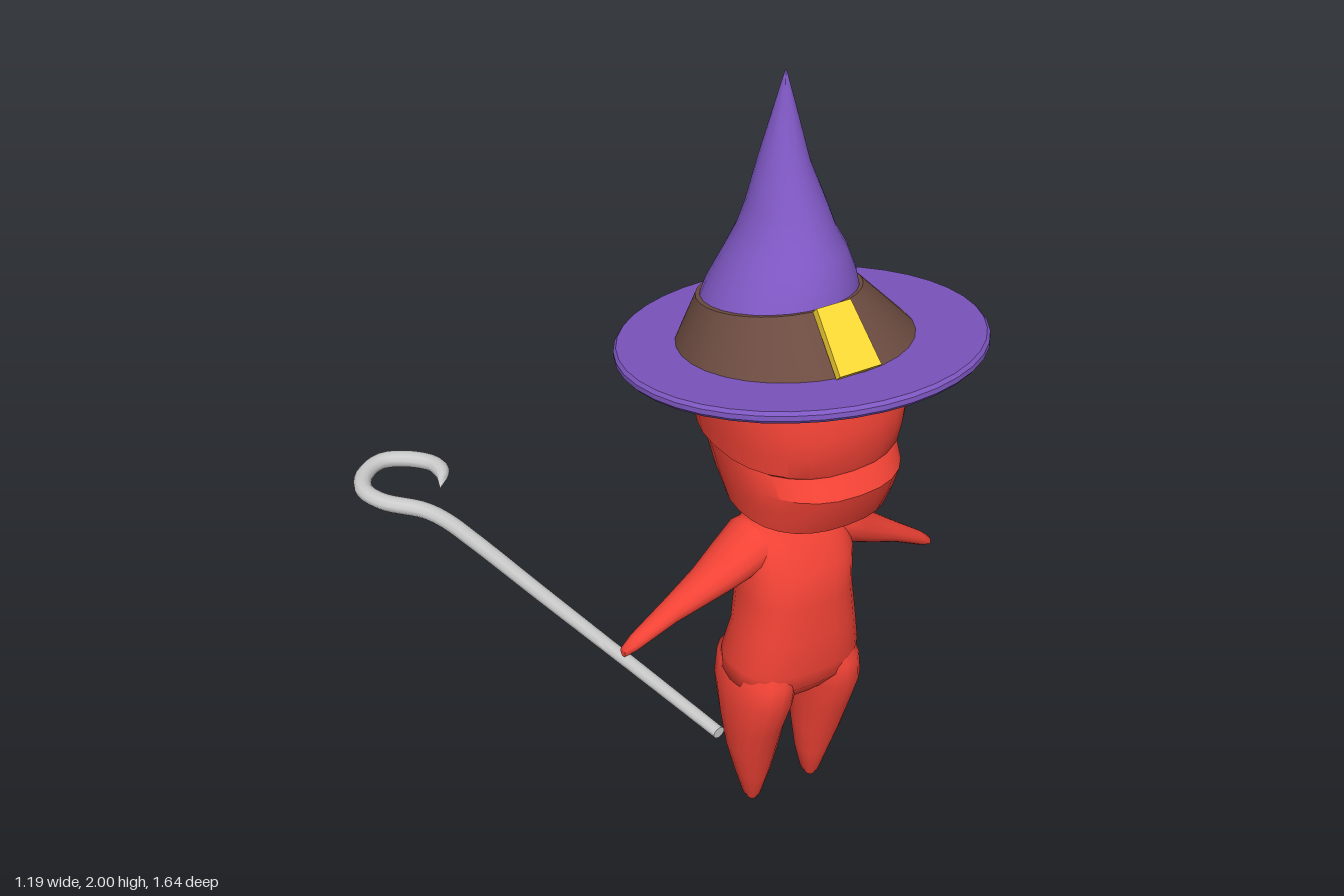
import * as THREE from 'three';
import { toCreasedNormals } from 'three/addons/utils/BufferGeometryUtils.js';

const CX = 0.13; // centre line of the figure
const mat = (color) => new THREE.MeshStandardMaterial({ color });
const red = mat(0xf44336), purple = mat(0x7e57c2), brown = mat(0x6d4c41);
const yellow = mat(0xfdd835), grey = mat(0xcccccc);

// Closed skin over rings [cx, y, cz, rx, rz, slope]; slope lifts the +z side.
function loft(rings, { seg = 24, pow = 1, crease = 0.7 } = {}) {
  const pos = [], idx = [];
  const curve = (v) => Math.sign(v) * Math.abs(v) ** pow;
  for (const [cx, y, cz, rx, rz, slope = 0] of rings) {
    for (let j = 0; j < seg; j++) {
      const a = (j / seg) * Math.PI * 2;
      const dz = rz * curve(Math.sin(a));
      pos.push(cx + rx * curve(Math.cos(a)), y + slope * dz, cz + dz);
    }
  }
  const n = rings.length, first = n * seg, last = first + 1;
  pos.push(...rings[0].slice(0, 3), ...rings[n - 1].slice(0, 3));
  for (let j = 0; j < seg; j++) {
    const k = (j + 1) % seg;
    for (let i = 0; i < n - 1; i++) {
      const a = i * seg + j, b = i * seg + k;
      idx.push(a, a + seg, b, b, a + seg, b + seg);
    }
    idx.push(first, j, k, last, (n - 1) * seg + k, (n - 1) * seg + j);
  }
  const g = new THREE.BufferGeometry();
  g.setAttribute('position', new THREE.Float32BufferAttribute(pos, 3));
  g.setIndex(idx);
  return toCreasedNormals(g, crease);
}

export function createModel() {
  const model = new THREE.Group();
  const add = (name, geometry, material) => {
    const mesh = new THREE.Mesh(geometry, material);
    mesh.name = name;
    model.add(mesh);
    return mesh;
  };

  // Torso and neck
  add('torso', loft([
    [CX, 0.37, 0.43, 0.05, 0.05],
    [CX, 0.40, 0.425, 0.11, 0.09],
    [CX, 0.45, 0.425, 0.178, 0.125],
    [CX, 0.50, 0.427, 0.177, 0.132],
    [CX, 0.60, 0.437, 0.16, 0.118],
    [CX, 0.70, 0.43, 0.146, 0.12],
    [CX, 0.80, 0.422, 0.15, 0.117],
    [CX, 0.87, 0.40, 0.143, 0.088],
    [CX, 0.92, 0.397, 0.108, 0.065],
    [CX, 0.95, 0.397, 0.075, 0.056],
    [CX, 1.00, 0.397, 0.06, 0.05],
  ], { pow: 0.8, crease: 1 }), red);

  for (const [side, s] of [['left', 1], ['right', -1]]) {
    // Legs: [outward offset, y, z, rx, rz]
    add(side + 'Leg', loft([
      [0.093, 0, 0.417, 0.012, 0.015],
      [0.093, 0.02, 0.415, 0.023, 0.028],
      [0.095, 0.10, 0.415, 0.043, 0.05],
      [0.101, 0.20, 0.42, 0.064, 0.071],
      [0.104, 0.30, 0.42, 0.073, 0.101],
      [0.102, 0.40, 0.423, 0.083, 0.13],
      [0.095, 0.47, 0.422, 0.08, 0.133],
      [0.08, 0.54, 0.43, 0.06, 0.09],
    ].map(([x, ...r]) => [CX + s * x, ...r]), { seg: 16, pow: 0.9, crease: 1 }), red);

    // Arms: [height, outward offset, z, half height, half depth], laid on their side
    const arm = loft([
      [0.85, 0.06, 0.40, 0.07, 0.07],
      [0.835, 0.13, 0.402, 0.067, 0.08],
      [0.795, 0.19, 0.40, 0.055, 0.067],
      [0.755, 0.25, 0.397, 0.044, 0.05],
      [0.706, 0.33, 0.39, 0.031, 0.034],
      [0.642, 0.43, 0.384, 0.021, 0.021],
      [0.623, 0.46, 0.383, 0.013, 0.012],
    ].map(([h, ...r]) => [-s * h, ...r]), { seg: 14, crease: 1 });
    arm.rotateZ(-s * Math.PI / 2);
    add(side + 'Arm', arm.translate(CX, 0, 0), red);
  }

  // Head with protruding muzzle: [y, back z, front z, half width]
  add('head', loft([
    [0.94, 0.34, 0.46, 0.06],
    [0.95, 0.33, 0.55, 0.11],
    [0.97, 0.31, 0.59, 0.16],
    [1.00, 0.29, 0.64, 0.188],
    [1.06, 0.24, 0.667, 0.20],
    [1.11, 0.21, 0.682, 0.208],
    [1.158, 0.185, 0.648, 0.214],
    [1.165, 0.18, 0.65, 0.226],
    [1.22, 0.16, 0.66, 0.234],
    [1.27, 0.155, 0.662, 0.24],
    [1.33, 0.16, 0.65, 0.244],
    [1.37, 0.17, 0.64, 0.242],
    [1.42, 0.20, 0.61, 0.21],
    [1.47, 0.28, 0.52, 0.12],
  ].map(([y, b, f, w]) => [CX, y, (b + f) / 2, w, (f - b) / 2]), { seg: 28, pow: 0.85, crease: 0.5 }), red);

  // Hat: tilted brim, band and bent cone
  const brim = add('hatBrim', loft([
    [0, -0.014, 0, 0.428, 0.428],
    [0, -0.006, 0, 0.435, 0.435],
    [0, 0.006, 0, 0.435, 0.435],
    [0, 0.014, 0, 0.428, 0.428],
  ], { seg: 40 }), purple);
  brim.position.set(0.145, 1.373, 0.39);
  brim.rotation.x = -0.15;

  add('hatBand', loft([
    [0.133, 1.385, 0.385, 0.278, 0.278, 0.15],
    [0.10, 1.505, 0.36, 0.192, 0.189, 0.19],
  ], { seg: 32 }), brown);

  add('hatCone', loft([
    [0.10, 1.495, 0.36, 0.185, 0.185, 0.19],
    [0.107, 1.54, 0.357, 0.17, 0.172, 0.17],
    [0.12, 1.60, 0.35, 0.138, 0.147, 0.12],
    [0.126, 1.65, 0.341, 0.108, 0.122, 0.08],
    [0.13, 1.70, 0.333, 0.09, 0.102, 0.05],
    [0.131, 1.80, 0.315, 0.057, 0.064],
    [0.138, 1.90, 0.302, 0.03, 0.032],
    [0.141, 2.00, 0.295, 0.002, 0.002],
  ], { seg: 28 }), purple);

  // Buckle, narrower at the top
  const plate = new THREE.BoxGeometry(0.11, 0.16, 0.02);
  const pp = plate.attributes.position;
  for (let i = 0; i < pp.count; i++) if (pp.getY(i) > 0) pp.setX(i, pp.getX(i) * 0.82);
  const buckle = add('hatBuckle', plate, yellow);
  buckle.position.set(0.112, 1.492, 0.61);
  buckle.rotation.x = -0.8;

  // Hooked staff lying level: path in [x, z]
  const path = new THREE.CatmullRomCurve3([
    [-0.22, 0.68], [-0.275, 0.38], [-0.35, -0.02], [-0.405, -0.32], [-0.432, -0.44],
    [-0.466, -0.516], [-0.55, -0.612], [-0.571, -0.69], [-0.536, -0.763], [-0.47, -0.797],
    [-0.405, -0.772], [-0.35, -0.713], [-0.344, -0.665], [-0.383, -0.586],
  ].map(([x, z]) => new THREE.Vector3(x, 0.533 + 0.005 * (0.65 - z), z)));
  const N = 90, R = 10;
  const tube = new THREE.TubeGeometry(path, N, 1, R);
  const tp = tube.attributes.position, v = new THREE.Vector3();
  for (let i = 0; i <= N; i++) {
    const t = i / N;
    const c = path.getPointAt(i === 0 ? 1 / N : t); // ring 0 closes the butt end flat
    let r = Math.min(0.0165 + 0.014 * t, 0.026);
    if (t > 0.95) r *= (1 - t) / 0.05;
    if (i === 0) r = 0;
    const o = path.getPointAt(t);
    for (let j = 0; j <= R; j++) {
      const k = i * (R + 1) + j;
      v.fromBufferAttribute(tp, k).sub(o).multiplyScalar(r).add(c);
      v.y = c.y + (v.y - c.y) * 0.88;
      tp.setXYZ(k, v.x, v.y, v.z);
    }
  }
  add('hookedStaff', toCreasedNormals(tube, 0.9), grey);

  return model;
}
